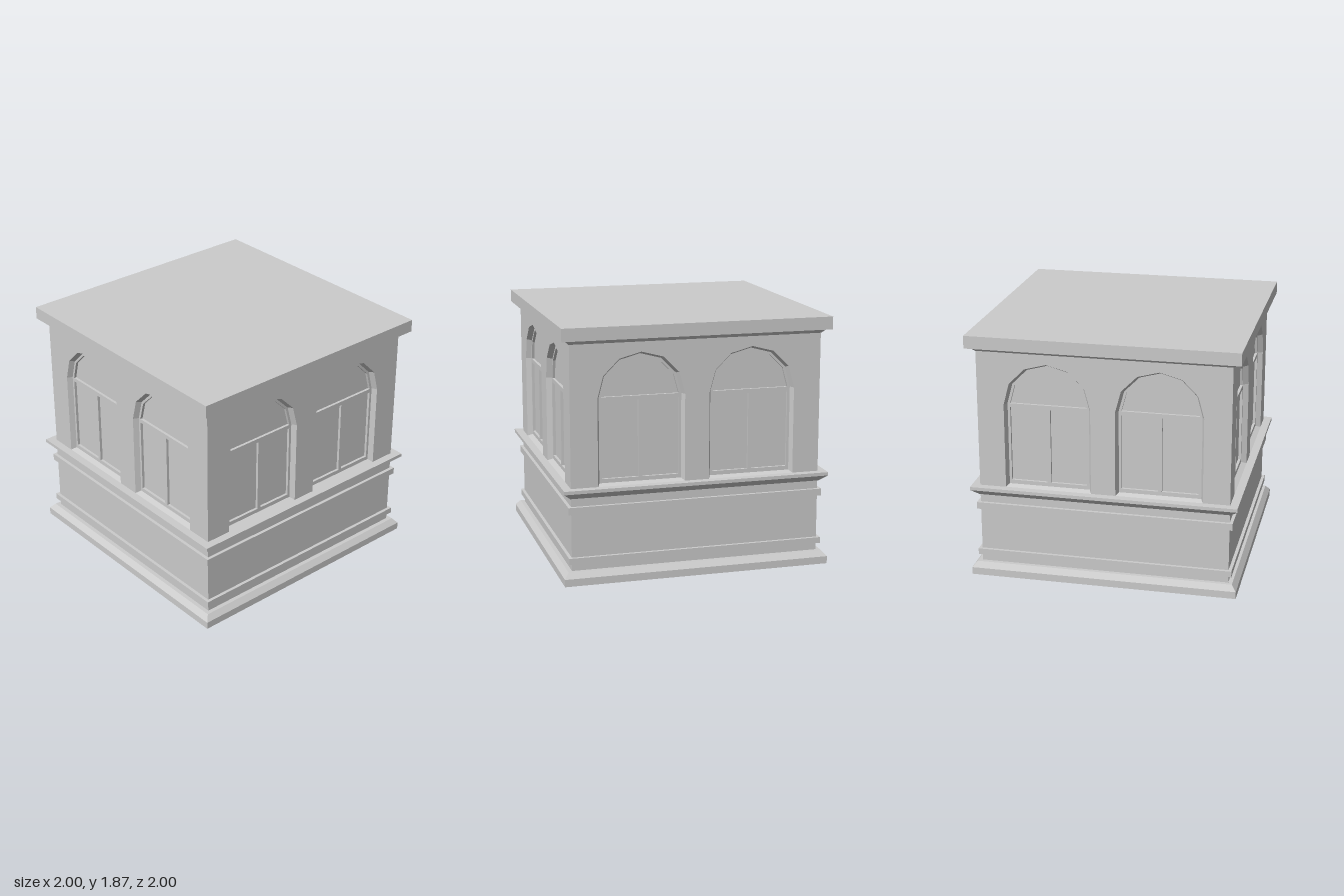
import * as THREE from 'three';

const material = new THREE.MeshStandardMaterial({ color: 0xcccccc, flatShading: true });
const WALL = 0.934;              // half width of the wall block
const WIN_X = 0.413;             // window centre offset
const SILL = 0.705, SPRING = 1.347;
const FRAME_DEPTH = 0.04, PANE_DEPTH = 0.06;

function addMesh(parent, name, geometry) {
  const flat = geometry.index ? geometry.toNonIndexed() : geometry;
  flat.computeVertexNormals();
  const mesh = new THREE.Mesh(flat, material);
  mesh.name = name;
  parent.add(mesh);
  return mesh;
}

// Closed square moulding from [half width, height] pairs, bottom to top
function moulding(parent, name, profile) {
  const last = profile[profile.length - 1];
  const points = [[0, profile[0][1]], ...profile, [0, last[1]]]
    .map(([half, y]) => new THREE.Vector2(half * Math.SQRT2, y));
  return addMesh(parent, name, new THREE.LatheGeometry(points, 4, Math.PI / 4));
}

// Round-headed outline, counterclockwise, with a six-sided arch
function archOutline(r, bottom, cx = 0) {
  const points = [new THREE.Vector2(cx - r, bottom), new THREE.Vector2(cx + r, bottom)];
  for (let i = 0; i <= 6; i++) {
    const a = (i * Math.PI) / 6;
    points.push(new THREE.Vector2(cx + r * Math.cos(a), SPRING + r * Math.sin(a)));
  }
  return points;
}

function rectOutline(x0, x1, y0, y1) {
  return [[x0, y0], [x1, y0], [x1, y1], [x0, y1]].map(([x, y]) => new THREE.Vector2(x, y));
}

// Splayed surround joining the wall opening to the recessed frame
function splay(outer, inner, depth) {
  const positions = [];
  outer.forEach((a, i) => {
    const j = (i + 1) % outer.length;
    const b = outer[j], c = inner[j], d = inner[i];
    positions.push(
      a.x, a.y, 0, b.x, b.y, 0, c.x, c.y, -depth,
      a.x, a.y, 0, c.x, c.y, -depth, d.x, d.y, -depth);
  });
  const geometry = new THREE.BufferGeometry();
  geometry.setAttribute('position', new THREE.Float32BufferAttribute(positions, 3));
  return geometry;
}

function makeWindow() {
  const group = new THREE.Group();
  group.name = 'window';
  const inner = archOutline(0.304, 0.72);
  addMesh(group, 'windowSurround', splay(archOutline(0.322, SILL), inner, FRAME_DEPTH));

  // Frame with two tall lights and a fanlight above
  const shape = new THREE.Shape(inner);
  const lights = [
    rectOutline(-0.285, -0.014, 0.75, 1.317),
    rectOutline(0.014, 0.285, 0.75, 1.317),
    archOutline(0.285, SPRING).slice(2),
  ];
  lights.forEach((outline) => shape.holes.push(new THREE.Path(outline)));
  const frame = new THREE.ExtrudeGeometry(shape, {
    depth: PANE_DEPTH - FRAME_DEPTH, bevelEnabled: false,
  });
  addMesh(group, 'windowFrame', frame.translate(0, 0, -PANE_DEPTH));

  // Panes
  lights.forEach((outline) => {
    const pane = new THREE.ShapeGeometry(new THREE.Shape(outline));
    addMesh(group, 'windowPane', pane.translate(0, 0, -PANE_DEPTH));
  });
  return group;
}

// One storey wall with two arched openings
function makeSide() {
  const side = new THREE.Group();
  side.name = 'wallSide';
  const wall = new THREE.Shape(rectOutline(-WALL, WALL, 0.68, 1.76));
  for (const s of [-1, 1]) {
    wall.holes.push(new THREE.Path(archOutline(0.322, SILL, s * WIN_X)));
    const win = makeWindow();
    win.position.set(s * WIN_X, 0, WALL);
    side.add(win);
  }
  addMesh(side, 'upperWall', new THREE.ShapeGeometry(wall).translate(0, 0, WALL));
  return side;
}

export function createModel() {
  const model = new THREE.Group();
  model.name = 'buildingBlock';

  // Plinth, lower wall and string courses
  moulding(model, 'plinth', [[1, 0], [1, 0.055], [0.965, 0.095]]);
  moulding(model, 'lowerWall', [[WALL, 0.08], [WALL, 0.64]]);
  moulding(model, 'lowerBand', [[0.958, 0.15], [0.958, 0.195]]);
  moulding(model, 'upperBand', [[0.958, 0.52], [0.958, 0.572]]);
  moulding(model, 'sillLedge', [[0.94, 0.632], [0.995, 0.68], [0.995, SILL]]);

  // Four matching window walls
  for (let i = 0; i < 4; i++) {
    const side = makeSide();
    side.rotation.y = (i * Math.PI) / 2;
    model.add(side);
  }

  // Cornice and roof slab
  moulding(model, 'cornice', [[0.936, 1.742], [0.968, 1.774], [0.968, 1.79]]);
  moulding(model, 'roofSlab', [[1, 1.774], [1, 1.868]]);
  return model;
}
